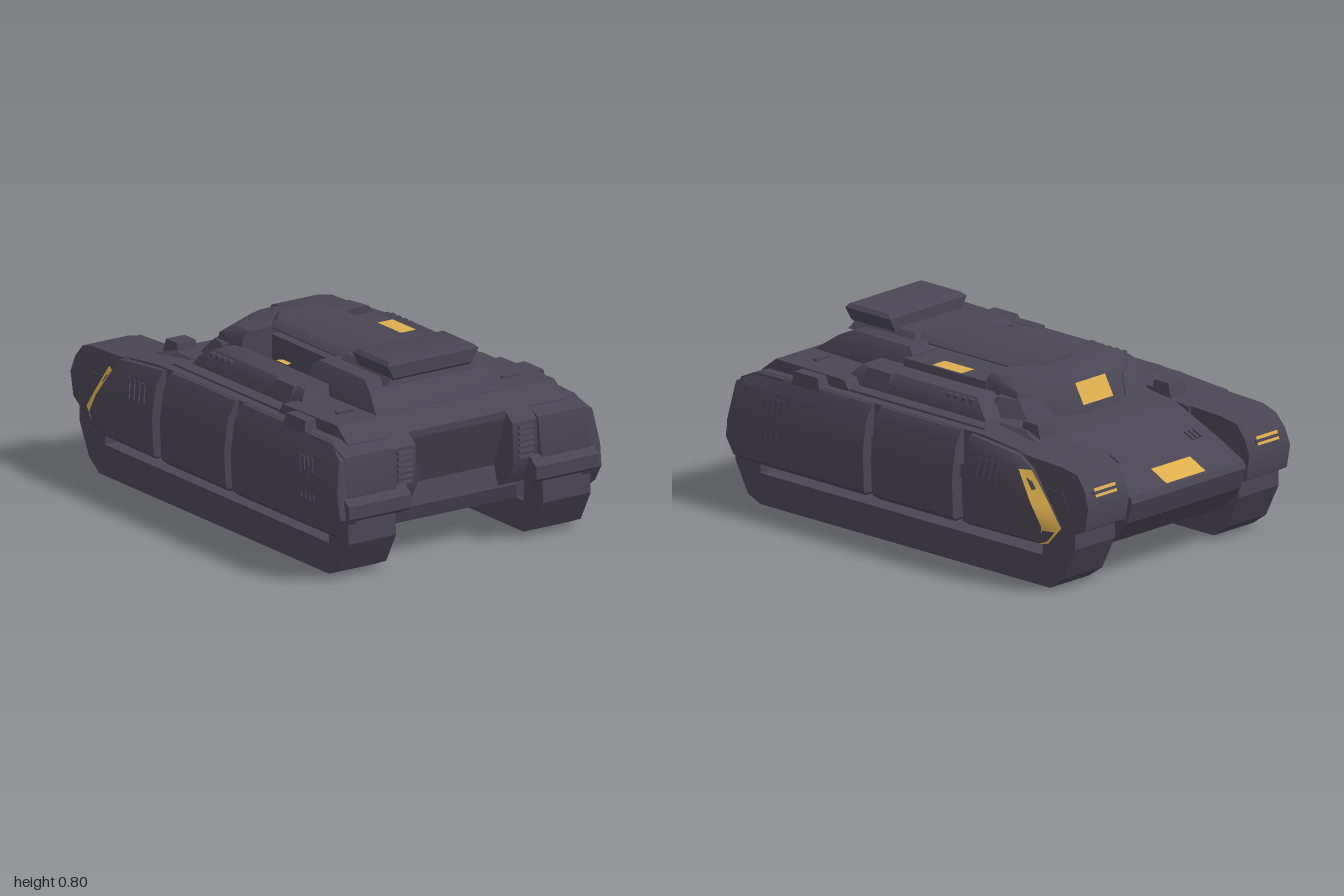
import * as THREE from 'three';
import { ConvexGeometry } from 'three/addons/geometries/ConvexGeometry.js';
import { toCreasedNormals } from 'three/addons/utils/BufferGeometryUtils.js';

export function createModel() {
  const model = new THREE.Group();
  const armour = new THREE.MeshStandardMaterial({ color: 0x4a4554 });
  armour.name = 'slate armour';
  const yellow = new THREE.MeshStandardMaterial({ color: 0xdcae4c, side: THREE.DoubleSide });
  yellow.name = 'amber marking';

  const add = (name, geometry, material = armour) => {
    const mesh = new THREE.Mesh(geometry, material);
    mesh.name = name;
    model.add(mesh);
  };
  // Convex block around a set of corners, soft over shallow edges
  const block = (name, pts) =>
    add(name, toCreasedNormals(new ConvexGeometry(pts.map((p) => new THREE.Vector3(...p))), 0.6));
  // Block with an x/y side profile running between two z values
  const slab = (name, profile, z0, z1) =>
    block(name, profile.flatMap(([x, y]) => [[x, y, z0], [x, y, z1]]));
  // Tapered block: rectangles [x0, x1, z0, z1] at stacked heights
  const taper = (name, layers) =>
    block(name, layers.flatMap(([y, x0, x1, z0, z1]) =>
      [[x0, y, z0], [x1, y, z0], [x0, y, z1], [x1, y, z1]]));
  // Thin painted face made from rows of two points
  const marking = (name, rows) => {
    const g = new THREE.BufferGeometry();
    const index = [];
    for (let i = 0; i < rows.length - 1; i++) {
      const a = i * 2;
      index.push(a, a + 2, a + 1, a + 1, a + 2, a + 3);
    }
    g.setAttribute('position', new THREE.Float32BufferAttribute(rows.flat(2), 3));
    g.setIndex(index);
    g.computeVertexNormals();
    add(name, g, yellow);
  };
  const extrude = (name, outline, hole, z0, z1) => {
    const toVec = (pts) => pts.map((p) => new THREE.Vector2(...p));
    const shape = new THREE.Shape(toVec(outline));
    if (hole) shape.holes.push(new THREE.Path(toVec(hole)));
    const g = new THREE.ExtrudeGeometry(shape, { depth: z1 - z0, bevelEnabled: false });
    g.translate(0, 0, z0);
    add(name, g);
  };

  // Outer face of the skirts as a curve of z over height
  const curve = [[0.17, 0.61], [0.2, 0.643], [0.36, 0.652], [0.5, 0.63], [0.565, 0.59]];
  const skirtZ = (y) => {
    const i = Math.max(1, curve.findIndex(([k]) => y <= k));
    const [a, za] = curve[i - 1], [b, zb] = curve[i];
    return za + ((zb - za) * (y - a)) / (b - a);
  };
  const skirt = (name, outline, s, extra = []) => {
    const pts = [...extra];
    outline.forEach(([x, y], i) => {
      const [u, v] = outline[(i + 1) % outline.length];
      pts.push([x, y, 0.56 * s], [x, y, skirtZ(y) * s]);
      for (const [k, z] of curve) {
        if ((k - y) * (k - v) < 0) pts.push([x + ((u - x) * (k - y)) / (v - y), k, z * s]);
      }
    });
    block(name, pts);
  };
  // Bevelled front edge of the front skirt: height, forward x, rearward x
  const bevel = [[0.485, -0.7, -0.648], [0.36, -0.797, -0.735], [0.27, -0.862, -0.79], [0.19, -0.79, -0.765]];

  // Centre hull, hollow and open underneath, with a recessed tail
  extrude('hull', [
    [-0.88, 0.15], [-0.97, 0.25], [-1, 0.34], [-0.99, 0.366], [-0.85, 0.435], [-0.6, 0.54], [-0.4, 0.565],
    [0.84, 0.565], [0.88, 0.53], [0.8, 0.3], [0.83, 0.21], [0.81, 0.145], [0.76, 0.145],
    [0.76, 0.5], [-0.5, 0.5], [-0.88, 0.33], [-0.8, 0.15],
  ], null, -0.335, 0.335);

  for (const s of [1, -1]) {
    // Track loop
    const tz = s > 0 ? [0.365, 0.6] : [-0.6, -0.365];
    extrude('track', [
      [-0.79, 0], [0.83, 0], [0.9, 0.03], [0.97, 0.16], [0.96, 0.3], [0.9, 0.42],
      [-0.86, 0.42], [-0.93, 0.28], [-0.93, 0.19], [-0.86, 0.05],
    ], [[-0.75, 0.132], [-0.75, 0.36], [0.83, 0.36], [0.83, 0.132]], ...tz);

    // Inner wall and body over the track
    slab('innerWall', [[-0.86, 0.15], [0.82, 0.15], [0.82, 0.52], [-0.6, 0.52], [-0.88, 0.38]], 0.335 * s, 0.37 * s);
    slab('trackCover', [[-0.7, 0.36], [0.88, 0.36], [0.88, 0.53], [0.84, 0.562], [-0.4, 0.562], [-0.68, 0.53]], 0.335 * s, 0.58 * s);

    // Front fender with narrowed nose, and its split headlight
    const nose = [[-0.9, 0.24], [-0.98, 0.28], [-1, 0.38], [-0.975, 0.45], [-0.93, 0.505], [-0.85, 0.525], [-0.6, 0.535], [-0.6, 0.24]];
    block('frontFender', nose.flatMap(([x, y]) => {
      const inset = x < -0.92 ? 0.01 : 0;
      return [[x, y, (0.345 + inset) * s], [x, y, (0.605 - inset - Math.max(0, y - 0.4) * 0.1) * s]];
    }));
    marking('headlight', [[-0.992, 0.415], [-0.979, 0.451]].map(([x, y]) => [[x, y, 0.415 * s], [x, y, 0.54 * s]]));
    slab('headlightBar', [[-0.992, 0.428], [-0.989, 0.438], [-0.97, 0.438], [-0.97, 0.428]], 0.405 * s, 0.55 * s);

    // Rear fender and lip
    slab('rearFender', [[0.7, 0.56], [0.86, 0.555], [0.94, 0.52], [0.945, 0.43], [0.97, 0.34], [0.95, 0.25], [0.7, 0.25]], 0.36 * s, 0.6 * s);
    slab('rearLip', [[0.9, 0.37], [0.96, 0.36], [1, 0.33], [1, 0.275], [0.96, 0.25], [0.88, 0.25]], 0.31 * s, 0.62 * s);

    // Rear vent columns
    slab('rearColumn', [[0.78, 0.2], [0.88, 0.24], [0.94, 0.34], [0.93, 0.51], [0.88, 0.55], [0.78, 0.55]], 0.24 * s, 0.36 * s);
    for (let i = 0; i < 6; i++) {
      const y = 0.36 + i * 0.025;
      slab('rearVentSlat', [[0.92, y], [0.95, y], [0.945, y + 0.012], [0.92, y + 0.012]], 0.265 * s, 0.335 * s);
    }

    // Three skirt panels, the first with an amber bevel
    skirt('frontSkirt', [
      [-0.345, 0.555], [-0.345, 0.19], [-0.36, 0.18], ...bevel.map(([y, , x]) => [x, y]).reverse(), [-0.63, 0.53],
    ], s, bevel.flatMap(([y, x]) => [[x, y, 0.607 * s], [x, y, 0.56 * s]]));
    marking('sideStripe', bevel.map(([y, a, b]) => [[a - 0.002, y, 0.612 * s], [b, y, (skirtZ(y) + 0.004) * s]]));
    skirt('middleSkirt', [[-0.29, 0.56], [-0.29, 0.19], [-0.275, 0.175], [0.15, 0.175], [0.165, 0.19], [0.165, 0.56]], s);
    skirt('rearSkirt', [[0.21, 0.56], [0.21, 0.19], [0.225, 0.175], [0.93, 0.18], [0.98, 0.27], [0.95, 0.43], [0.94, 0.51], [0.84, 0.56]], s);

    // Vent slats on the skirts
    const slat = (x, y0, y1, lean) => block('sideVentSlat',
      [[x + lean, y0], [x + lean + 0.018, y0], [x, y1], [x + 0.018, y1]].flatMap(([u, y]) =>
        [[u, y, (skirtZ(y) - 0.02) * s], [u, y, (skirtZ(y) + 0.006) * s]]));
    for (let i = 0; i < 4; i++) {
      slat(-0.54 + i * 0.035, 0.4, 0.485, 0.012);
      slat(0.66 + i * 0.03, 0.31, 0.48, 0.035);
    }

    // Deck sponson beside the turret, with fittings
    taper('sponson', [
      [0.56, -0.32, 0.48, 0.3 * s, 0.475 * s],
      [0.61, -0.28, 0.45, 0.3 * s, 0.465 * s],
      [0.648, -0.22, 0.42, 0.315 * s, 0.43 * s],
    ]);
    for (let i = 0; i < 4; i++) {
      const x = -0.21 + i * 0.042;
      slab('sponsonSlat', [[x, 0.59], [x + 0.022, 0.59], [x + 0.012, 0.64], [x - 0.01, 0.64]], 0.4 * s, 0.455 * s);
    }
    taper('sponsonBox', [[0.59, 0.23, 0.38, 0.4 * s, 0.475 * s], [0.65, 0.24, 0.37, 0.4 * s, 0.45 * s]]);
    taper('deckBox', [[0.55, 0.5, 0.66, 0.52 * s, 0.6 * s], [0.603, 0.52, 0.65, 0.53 * s, 0.59 * s]]);
    taper('deckHandle', [[0.6, 0.66, 0.68, 0.37 * s, 0.45 * s], [0.62, 0.66, 0.68, 0.37 * s, 0.45 * s]]);

    // Shoulder boxes and glacis vents
    taper('shoulder', [[0.53, -0.62, -0.34, 0.335 * s, 0.48 * s], [0.572, -0.5, -0.35, 0.335 * s, 0.44 * s]]);
    taper('shoulderBox', [[0.54, -0.58, -0.47, 0.335 * s, 0.435 * s], [0.603, -0.56, -0.48, 0.34 * s, 0.43 * s]]);
    for (let i = 0; i < 3; i++) {
      const z = 0.21 + i * 0.025;
      slab('glacisVent', [[-0.82, 0.43], [-0.82, 0.455], [-0.77, 0.476], [-0.77, 0.45]], z * s, (z + 0.014) * s);
    }
    // Turret cheek wedge
    block('cheek', [
      [-0.46, 0.54, 0.2 * s], [-0.46, 0.54, 0.36 * s], [-0.26, 0.54, 0.42 * s], [-0.26, 0.54, 0.2 * s],
      [-0.4, 0.64, 0.24 * s], [-0.36, 0.64, 0.33 * s], [-0.26, 0.645, 0.36 * s], [-0.26, 0.645, 0.2 * s],
    ]);
  }

  // Decks
  slab('frontDeck', [[-0.42, 0.52], [-0.36, 0.57], [0.4, 0.572], [0.4, 0.52]], -0.535, 0.535);
  slab('rearDeck', [[0.36, 0.52], [0.42, 0.605], [0.8, 0.612], [0.88, 0.55], [0.88, 0.52]], -0.54, 0.54);

  // Turret: faceted front, middle with an open bay on the left, sloping rear
  block('turretFront', [1, -1].flatMap((s) => [
    [-0.5, 0.56, 0.1 * s], [-0.37, 0.56, 0.335 * s], [-0.17, 0.56, 0.335 * s],
    [-0.49, 0.59, 0.1 * s], [-0.44, 0.68, 0.09 * s], [-0.34, 0.67, 0.32 * s], [-0.17, 0.68, 0.325 * s],
    [-0.38, 0.712, 0.09 * s], [-0.27, 0.712, 0.28 * s], [-0.17, 0.712, 0.3 * s],
  ]));
  taper('turretMiddle', [
    [0.56, -0.18, 0.28, -0.335, 0.18],
    [0.66, -0.18, 0.28, -0.335, 0.18],
    [0.68, -0.18, 0.28, -0.328, 0.18],
  ]);
  taper('turretRear', [
    [0.56, 0.27, 0.82, -0.335, 0.335],
    [0.612, 0.27, 0.78, -0.33, 0.33],
    [0.685, 0.27, 0.68, -0.295, 0.295],
    [0.712, 0.3, 0.62, -0.275, 0.275],
  ]);
  block('roofPlate', [1, -1].flatMap((s) => [[0.703, 0], [0.708, 0], [0.735, 0.04]].flatMap(([y, d]) => [
    [-0.27 + d * 0.3, y, (0.1 - d * 0.5) * s], [-0.18, y, (0.18 - d) * s], [0.46, y, (0.18 - d) * s],
  ])));

  // Flared hatch box at the back of the roof
  taper('hatchMount', [[0.69, 0.33, 0.7, -0.22, 0.22], [0.735, 0.36, 0.68, -0.18, 0.18]]);
  taper('hatchBox', [
    [0.695, 0.5, 0.67, -0.18, 0.18],
    [0.725, 0.46, 0.71, -0.195, 0.195],
    [0.78, 0.46, 0.712, -0.225, 0.225],
    [0.795, 0.485, 0.7, -0.21, 0.21],
  ]);

  // Amber plates on glacis, turret front and roof
  const plate = (name, [xa, ya], [xb, yb], z) =>
    marking(name, [[[xa, ya, -z], [xa, ya, z]], [[xb, yb, -z], [xb, yb, z]]]);
  plate('glacisPlate', [-0.982, 0.375], [-0.895, 0.418], 0.115);
  plate('turretPlate', [-0.492, 0.594], [-0.445, 0.678], 0.088);
  marking('roofMark', [
    [[-0.035, 0.684, -0.325], [0.13, 0.684, -0.325]],
    [[-0.035, 0.684, -0.25], [0.13, 0.684, -0.25]],
  ]);
  marking('bayMark', [
    [[0.06, 0.652, 0.287], [0.12, 0.652, 0.287]],
    [[0.05, 0.652, 0.315], [0.13, 0.652, 0.315]],
  ]);
  return model;
}
